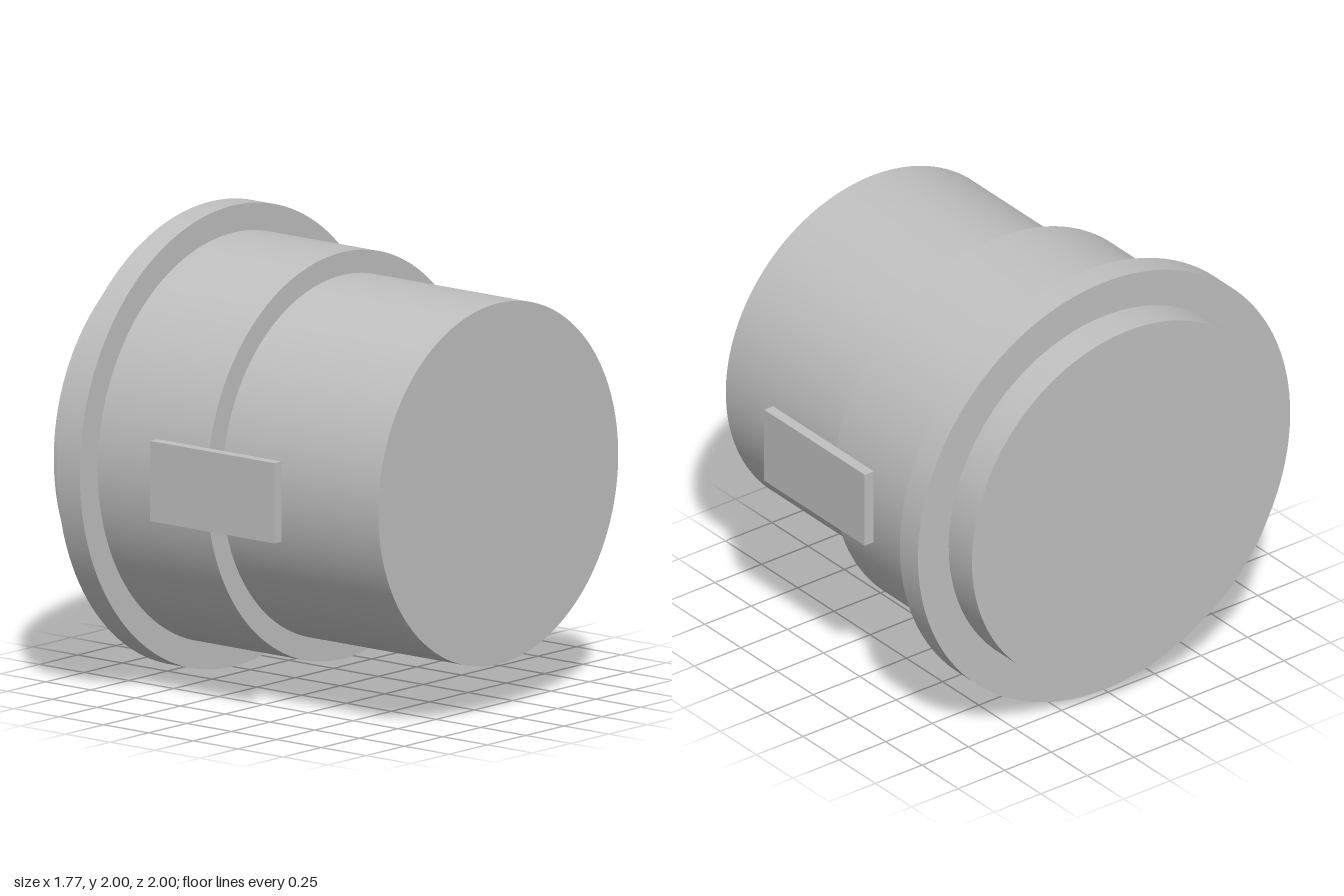
import * as THREE from 'three';

export function createModel() {
  const model = new THREE.Group();
  model.name = 'steppedPlug';
  const grey = new THREE.MeshStandardMaterial({ color: 0xc0c0c0 });
  grey.name = 'plain grey';

  const add = (name, geometry, x, y, z) => {
    const mesh = new THREE.Mesh(geometry, grey);
    mesh.name = name;
    mesh.position.set(x, y, z);
    model.add(mesh);
  };

  // Coaxial round sections along x: name, start, end, radius
  const sections = [
    ['endBoss', -0.883, -0.723, 0.835],
    ['flange', -0.723, -0.597, 1],
    ['body', -0.597, 0.012, 0.882],
    ['spigot', 0.012, 0.883, 0.783],
  ];
  for (const [name, x0, x1, radius] of sections) {
    const geometry = new THREE.CylinderGeometry(radius, radius, x1 - x0, 128);
    geometry.rotateZ(-Math.PI / 2);
    add(name, geometry, (x0 + x1) / 2, 1, 0);
  }

  // Flat side plates, touching the body at front and back
  for (const side of [1, -1]) {
    add(side > 0 ? 'frontPlate' : 'backPlate',
      new THREE.BoxGeometry(0.694, 0.348, 0.048), 0.082, 1.003, side * 0.906);
  }
  return model;
}
